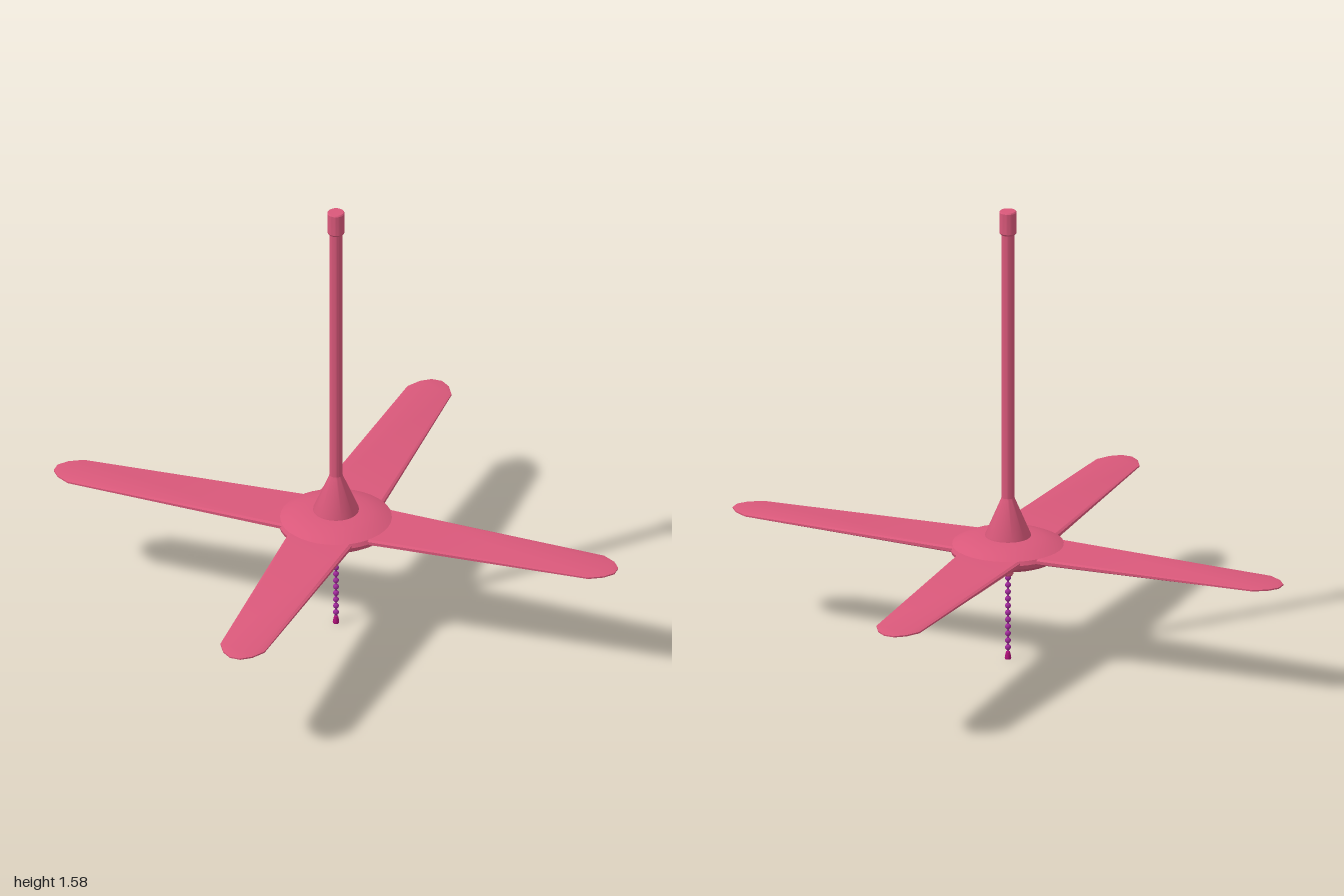
import * as THREE from 'three';
import { toCreasedNormals } from 'three/addons/utils/BufferGeometryUtils.js';

const red = new THREE.MeshStandardMaterial({ color: 0xd9587a });
const purple = new THREE.MeshStandardMaterial({ color: 0xa02a9a });
const magenta = new THREE.MeshStandardMaterial({ color: 0xb0127a });

// Turned part from [radius, height] pairs, listed from bottom to top
function turned(name, profile, material = red, segments = 32) {
  const points = profile.map(([r, y]) => new THREE.Vector2(r, y));
  const geometry = toCreasedNormals(new THREE.LatheGeometry(points, segments), 0.5);
  const mesh = new THREE.Mesh(geometry, material);
  mesh.name = name;
  return mesh;
}

// Flat blade along +x: narrows outwards, faceted round tip, thinner at the end
function bladeGeometry(length) {
  const edge = [[0.05, 0.113], [0.17, 0.11], [length - 0.075, 0.076], [length - 0.03, 0.05], [length - 0.005, 0.018]];
  const outline = [...edge, ...edge.map(([x, z]) => [x, -z]).reverse()];
  const shape = new THREE.Shape(outline.map(([x, z]) => new THREE.Vector2(x, z)));
  const geometry = new THREE.ExtrudeGeometry(shape, {
    depth: 0.01, bevelEnabled: true, bevelThickness: 0.005, bevelSize: 0.008, bevelOffset: -0.006, bevelSegments: 1,
  });
  geometry.translate(0, 0, -0.005);
  geometry.rotateX(-Math.PI / 2);
  const pos = geometry.attributes.position;
  for (let i = 0; i < pos.count; i++) {
    pos.setY(i, pos.getY(i) * (1.15 - 0.7 * pos.getX(i) / length));
  }
  return toCreasedNormals(geometry, 0.4);
}

export function createModel() {
  const fan = new THREE.Group();
  fan.name = 'ceilingFan';

  // Motor housing
  fan.add(turned('hub', [
    [0, 0.329], [0.03, 0.331], [0.07, 0.339], [0.12, 0.35], [0.165, 0.364], [0.19, 0.381],
    [0.194, 0.395], [0.187, 0.408], [0.16, 0.421], [0.12, 0.432], [0.08, 0.437], [0, 0.438],
  ], red, 40));

  // Cone, hanging rod and ceiling cap
  fan.add(turned('cone', [[0, 0.43], [0.077, 0.43], [0.076, 0.442], [0.024, 0.565], [0.021, 0.575], [0, 0.575]]));
  fan.add(turned('rod', [[0.022, 0.56], [0.022, 1.51]], red, 24));
  fan.add(turned('ceilingCap', [[0, 1.502], [0.025, 1.502], [0.029, 1.508], [0.029, 1.58], [0.026, 1.584], [0, 1.584]]));

  // Four blades, the sideways pair slightly longer
  for (let i = 0; i < 4; i++) {
    const blade = new THREE.Mesh(bladeGeometry(i % 2 ? 0.982 : 0.998), red);
    blade.name = `blade${i + 1}`;
    blade.position.y = 0.398;
    blade.rotation.y = i * Math.PI / 2;
    fan.add(blade);
  }

  // Switch stub and pull chain
  fan.add(turned('switchStub', [[0, 0.295], [0.014, 0.295], [0.018, 0.301], [0.018, 0.335]], red, 20));
  const chain = new THREE.Group();
  chain.name = 'pullChain';
  const beadGeometry = new THREE.SphereGeometry(0.01, 12, 8);
  for (let i = 0; i < 11; i++) {
    const bead = new THREE.Mesh(beadGeometry, purple);
    bead.name = `bead${i + 1}`;
    bead.position.y = 0.286 - i * 0.0245;
    chain.add(bead);
  }
  chain.add(turned('chainCord', [[0.004, 0.02], [0.004, 0.3]], purple, 8));
  chain.add(turned('chainPull', [[0, 0], [0.01, 0], [0.011, 0.006], [0.007, 0.025], [0, 0.031]], magenta, 16));
  fan.add(chain);

  return fan;
}
